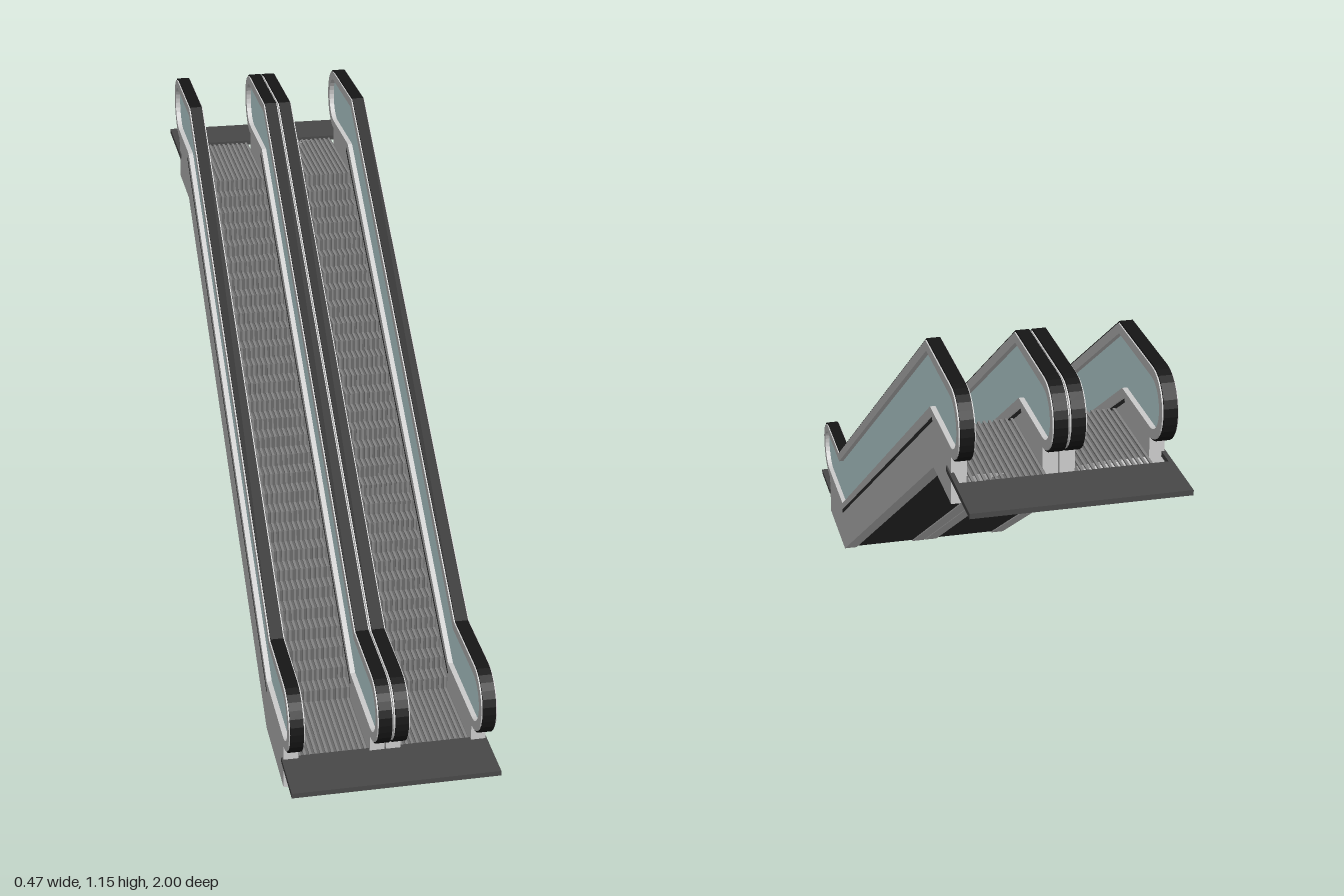
import * as THREE from 'three';

const mat = (color) => new THREE.MeshStandardMaterial({ color });
const grey = mat(0xcccccc);
const rubber = mat(0x161616);
const dark = mat(0x303030);
const plateMat = mat(0x484848);
const stepMat = mat(0x6a6a6a);
const ribMat = mat(0x858585);
const glassMat = mat(0xd2f0f2);

const SLOPE = Math.atan2(0.868, 1.25);
const BEND = Math.tan(SLOPE / 2);
const LOW = { z: 0.873, y: 0.197, bend: 0.664 };
const HIGH = { z: -0.81, y: 1.065, bend: -0.586 };
const LANE_X = 0.118, LANE_W = 0.165;

// Outline of the balustrade at distance r from its centre line, as [z, y] points
function loopPoints(r) {
  const pts = [];
  const arc = (end, from) => {
    for (let i = 0; i <= 14; i++) {
      const a = from + (Math.PI * i) / 14;
      pts.push([end.z + r * Math.cos(a), end.y + r * Math.sin(a)]);
    }
  };
  arc(LOW, -Math.PI / 2);
  pts.push([LOW.bend + BEND * r, LOW.y + r], [HIGH.bend + BEND * r, HIGH.y + r]);
  arc(HIGH, Math.PI / 2);
  pts.push([HIGH.bend - BEND * r, HIGH.y - r], [LOW.bend - BEND * r, LOW.y - r]);
  return pts;
}

const toVectors = (pts) => pts.map(([z, y]) => new THREE.Vector2(z, y));

// Extrude a side profile across x, centred on x = 0
function sideExtrude(pts, width, hole) {
  const shape = new THREE.Shape(toVectors(pts));
  if (hole) shape.holes.push(new THREE.Path(toVectors(hole)));
  const geo = new THREE.ExtrudeGeometry(shape, { depth: width, bevelEnabled: false });
  return geo.translate(0, 0, -width / 2).rotateY(-Math.PI / 2);
}

function add(parent, name, geo, material, x = 0, y = 0, z = 0) {
  const mesh = new THREE.Mesh(geo, material);
  mesh.name = name;
  mesh.position.set(x, y, z);
  parent.add(mesh);
  return mesh;
}

const box = (w, h, d) => new THREE.BoxGeometry(w, h, d);

// Stair outline; lift raises the treads and pushes the risers forward
function stairPoints(lift) {
  const n = 29, rise = 0.87 / n, run = 1.25 / n;
  const pts = [[0.86 + lift, 0.028], [0.86 + lift, 0.066 + lift]];
  for (let i = 0; i < n; i++) {
    const z = 0.64 - i * run + lift, y = 0.066 + i * rise + lift;
    pts.push([z, y], [z, y + rise]);
  }
  pts.push([-0.86, 0.936 + lift], [-0.86, 0.905], [-0.63, 0.9], [0.63, 0.028]);
  return pts;
}

export function createModel() {
  const model = new THREE.Group();
  model.name = 'doubleEscalator';

  const panelGeo = sideExtrude([
    [0.87, 0], [0.87, 0.137], [0.645, 0.137], [-0.604, 1.004], [-0.81, 1.004],
    [-0.81, 0.872], [-0.63, 0.872], [0.63, 0],
  ], 0.034);
  const frameGeo = sideExtrude(loopPoints(0.08), 0.036, loopPoints(0.058));
  const railGeo = sideExtrude(loopPoints(0.084), 0.03, loopPoints(0.07));
  const glassGeo = sideExtrude(loopPoints(0.06), 0.012);
  const trimGeo = sideExtrude([
    [0.645, 0.109], [0.645, 0.119], [-0.625, 0.991], [-0.625, 0.981],
  ], 0.037);

  // Four balustrades: skirt panel, glass, frame and handrail
  for (const x of [-0.217, -0.0187, 0.0187, 0.217]) {
    const side = new THREE.Group();
    side.name = 'balustrade';
    side.position.x = x;
    add(side, 'skirtPanel', panelGeo, grey);
    add(side, 'glass', glassGeo, glassMat);
    add(side, 'glassFrame', frameGeo, grey);
    add(side, 'handrail', railGeo, rubber);
    add(side, 'skirtTrim', trimGeo, dark);
    model.add(side);
  }

  const stairGeo = sideExtrude(stairPoints(0), LANE_W);
  const ribGeo = sideExtrude(stairPoints(0.004), 0.006);
  const trayGeo = sideExtrude([
    [0.862, 0.004], [0.862, 0.03], [0.63, 0.03], [-0.63, 0.902], [-0.805, 0.902],
    [-0.805, 0.876], [-0.63, 0.876], [0.63, 0.004],
  ], LANE_W);

  // Two lanes of ribbed steps over a closed tray
  for (const s of [-1, 1]) {
    const lane = new THREE.Group();
    lane.name = 'lane';
    lane.position.x = s * LANE_X;
    add(lane, 'steps', stairGeo, stepMat);
    const ribs = 13;
    for (let i = 0; i < ribs; i++) {
      add(lane, 'stepRib', ribGeo, ribMat, (i - (ribs - 1) / 2) * (LANE_W / ribs));
    }
    add(lane, 'underTray', trayGeo, dark);
    // Supports under the landing plates
    add(lane, 'lowerSupport', box(LANE_W, 0.028, 0.035), grey, 0, 0.05, 0.884);
    add(lane, 'upperSupport', box(LANE_W, 0.032, 0.095), grey, 0, 0.92, -0.857);
    model.add(lane);
  }

  // Landing plates at both ends
  add(model, 'lowerLandingPlate', box(0.475, 0.012, 0.14), plateMat, 0, 0.069, 0.93);
  add(model, 'upperLandingPlate', box(0.475, 0.012, 0.14), plateMat, 0, 0.94, -0.93);
  for (const s of [-1, 1]) {
    add(model, 'landingEdge', box(0.01, 0.012, 0.09), plateMat, s * 0.2325, 0.94, -0.82);
  }
  return model;
}
